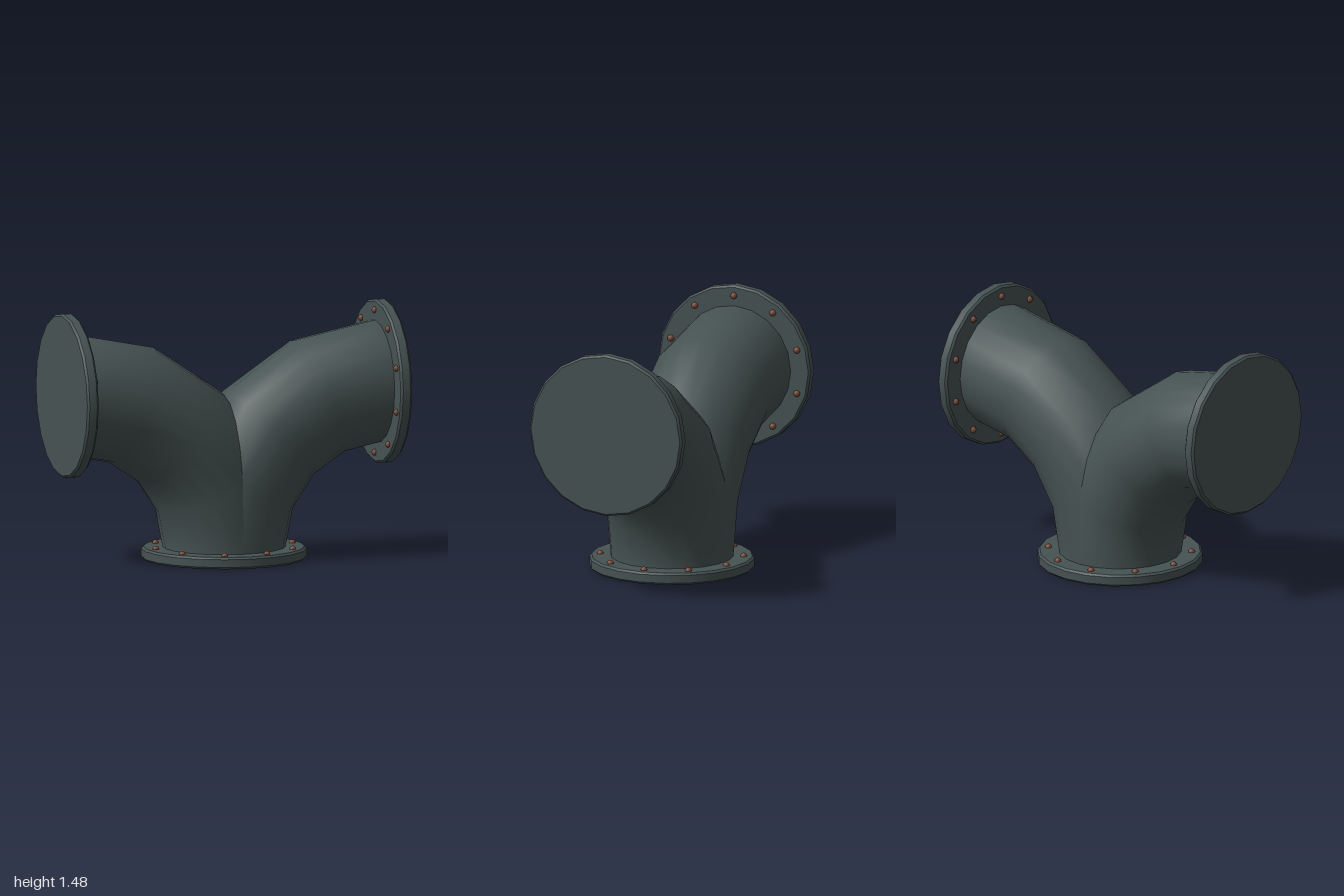
import * as THREE from 'three';
import { toCreasedNormals } from 'three/addons/utils/BufferGeometryUtils.js';

const PIPE_R = 0.36, BEND_R = 0.93, FLANGE_R = 0.483, FLANGE_H = 0.07, BOLT_RING = 0.42;

export function createModel() {
  const model = new THREE.Group();
  model.name = 'pipeJunction';

  const iron = new THREE.MeshStandardMaterial({ color: 0x465252 });
  iron.name = 'dark slate iron';
  const rust = new THREE.MeshStandardMaterial({ color: 0x7a4a38 });
  rust.name = 'rusty bolt';

  // Two quarter bends that share the bottom opening
  const bendGeo = new THREE.TorusGeometry(BEND_R, PIPE_R, 20, 4, Math.PI / 2);
  for (const side of [1, -1]) {
    const bend = new THREE.Mesh(bendGeo, iron);
    bend.name = side > 0 ? 'leftElbow' : 'rightElbow';
    bend.position.set(side * BEND_R, FLANGE_H, 0);
    if (side > 0) bend.rotation.y = Math.PI;
    model.add(bend);
  }

  // Closed disc flange with a small bevel, and a domed bolt head
  const b = 0.012;
  const profile = [
    [0, 0], [FLANGE_R - b, 0], [FLANGE_R, b],
    [FLANGE_R, FLANGE_H - b], [FLANGE_R - b, FLANGE_H], [0, FLANGE_H],
  ].map(([x, y]) => new THREE.Vector2(x, y));
  const flangeGeo = toCreasedNormals(new THREE.LatheGeometry(profile, 20), 0.6);
  const boltGeo = new THREE.SphereGeometry(0.02, 10, 4, 0, Math.PI * 2, 0, Math.PI / 2);

  function addFlange(name, x, y, tilt) {
    const group = new THREE.Group();
    group.name = name;
    const disc = new THREE.Mesh(flangeGeo, iron);
    disc.name = name + 'Disc';
    group.add(disc);
    for (let i = 0; i < 10; i++) {
      const a = (i / 10) * Math.PI * 2;
      const bolt = new THREE.Mesh(boltGeo, rust);
      bolt.name = name + 'Bolt';
      bolt.position.set(Math.cos(a) * BOLT_RING, FLANGE_H, Math.sin(a) * BOLT_RING);
      group.add(bolt);
    }
    group.position.set(x, y, 0);
    group.rotation.z = tilt;
    model.add(group);
  }

  addFlange('bottomFlange', 0, 0, 0);
  addFlange('leftFlange', 1, 1, Math.PI / 2);
  addFlange('rightFlange', -1, 1, -Math.PI / 2);

  return model;
}
